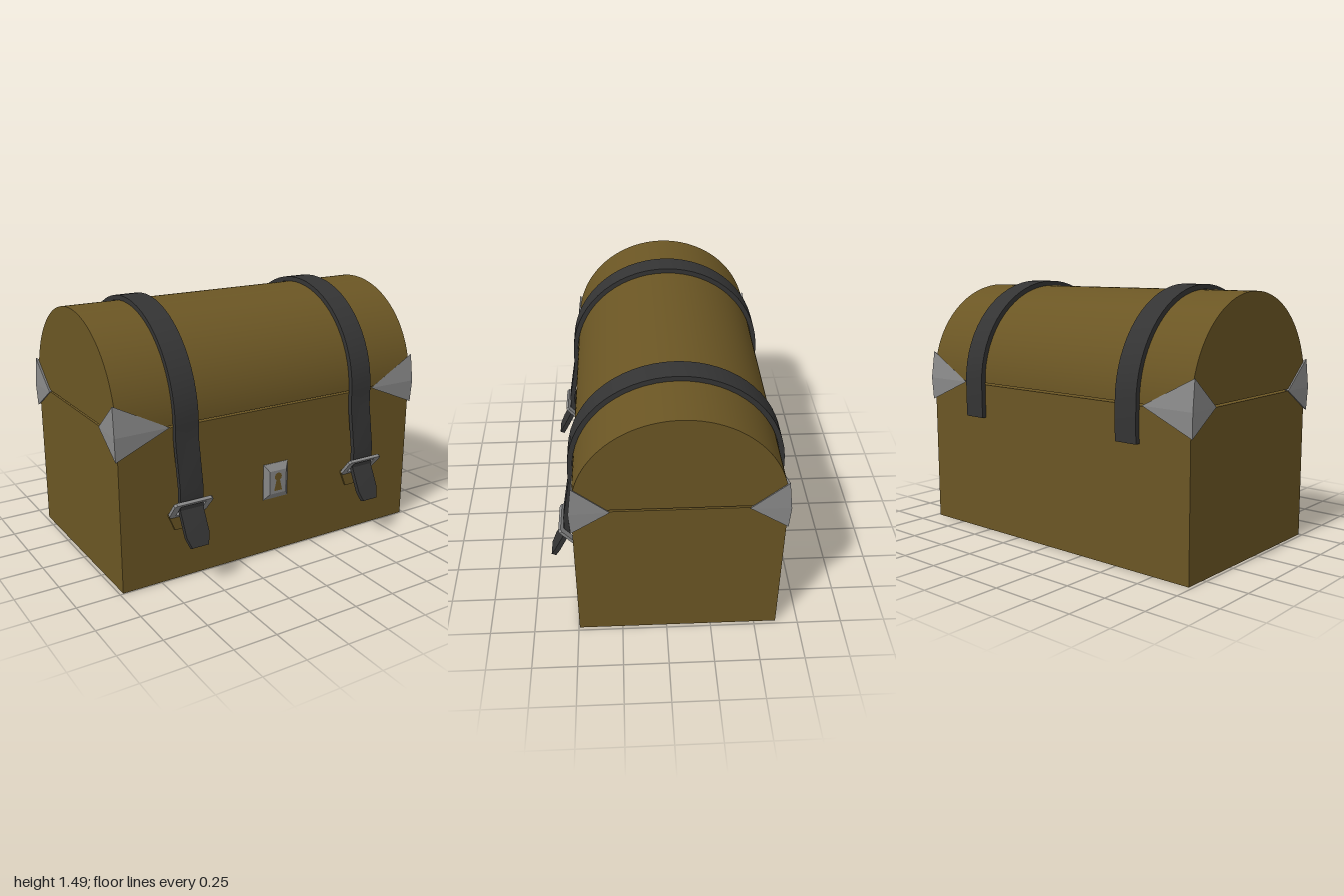
import * as THREE from 'three';
import { toCreasedNormals } from 'three/addons/utils/BufferGeometryUtils.js';
import { ConvexGeometry } from 'three/addons/geometries/ConvexGeometry.js';

const W = 0.98, CZ = -0.065, R = 0.56, SEAM = 0.897;

function material(name, color) {
  const m = new THREE.MeshStandardMaterial({ color });
  m.name = name;
  return m;
}

function polygon(points) {
  return new THREE.Shape(points.map(([x, y]) => new THREE.Vector2(x, y)));
}

// Band of rectangular section along a path of [z, y, halfWidth] points
function bandGeometry(path, thickness) {
  const pos = [], idx = [], n = path.length;
  path.forEach(([z, y, hw], i) => {
    const a = path[Math.max(i - 1, 0)], b = path[Math.min(i + 1, n - 1)];
    const t = new THREE.Vector2(b[0] - a[0], b[1] - a[1]).normalize();
    const nz = -t.y * thickness / 2, ny = t.x * thickness / 2;
    for (const [sx, sn] of [[-1, 1], [1, 1], [1, -1], [-1, -1]]) {
      pos.push(sx * hw, y + sn * ny, z + sn * nz);
    }
  });
  for (let i = 0; i < n - 1; i++) {
    for (let k = 0; k < 4; k++) {
      const a = i * 4 + k, b = i * 4 + (k + 1) % 4;
      idx.push(a, a + 4, b, b, a + 4, b + 4);
    }
  }
  const e = (n - 1) * 4;
  idx.push(0, 1, 2, 0, 2, 3, e, e + 2, e + 1, e, e + 3, e + 2);
  const g = new THREE.BufferGeometry();
  g.setAttribute('position', new THREE.Float32BufferAttribute(pos, 3));
  g.setIndex(idx);
  return toCreasedNormals(g, 0.4);
}

export function createModel() {
  const model = new THREE.Group();
  model.name = 'chest';
  const leather = material('brown leather', 0x6b5624);
  const strapMat = material('dark strap', 0x343434);
  const metal = material('grey metal', 0x8a8a8a);

  function add(name, geometry, mat, x = 0, y = 0, z = 0, parent = model) {
    const mesh = new THREE.Mesh(geometry, mat);
    mesh.name = name;
    mesh.position.set(x, y, z);
    parent.add(mesh);
    return mesh;
  }

  // Box body
  add('body', new THREE.BoxGeometry(2 * W, 0.886, 2 * R), leather, 0, 0.443, CZ);

  // Half-round lid, extruded along x
  const arch = new THREE.Shape();
  arch.absarc(0, 0, R, 0, Math.PI, false);
  arch.closePath();
  const lidGeo = new THREE.ExtrudeGeometry(arch, { depth: 2 * W, bevelEnabled: false, curveSegments: 40 });
  lidGeo.translate(0, 0, -W);
  lidGeo.rotateY(Math.PI / 2);
  add('lid', toCreasedNormals(lidGeo, 0.5), leather, 0, SEAM, CZ);

  // Metal corner guards across the seam
  for (const sx of [-1, 1]) {
    for (const sz of [-1, 1]) {
      const points = [
        [1.0, 0.89, 0.574],   // outer corner
        [0.995, 1.055, 0.553], // top
        [0.995, 0.755, 0.568], // bottom
        [0.68, 0.89, 0.567],  // tip along the long side
        [0.992, 0.89, 0.36],  // tip along the short side
      ].map(([x, y, z]) => new THREE.Vector3(sx * x, y, CZ + sz * z));
      add('cornerGuard', new ConvexGeometry(points), metal);
    }
  }

  // Strap path: up the back, over the lid, down the front to a tapered tip
  const path = [[-0.64, 0.69, 0.07], [-0.642, 0.8, 0.07]];
  for (let i = 0; i <= 32; i++) {
    const a = Math.PI * (1 - i / 32);
    path.push([CZ + 0.576 * Math.cos(a), SEAM + 0.576 * Math.sin(a), 0.07]);
  }
  path.push([0.512, 0.8, 0.07], [0.555, 0.54, 0.07], [0.55, 0.43, 0.07],
    [0.618, 0.295, 0.07], [0.643, 0.24, 0.05]);
  const strapGeo = bandGeometry(path, 0.028);

  // Buckle frame with a window for the strap
  const frame = polygon([[-0.1, -0.07], [0.1, -0.07], [0.115, -0.05], [0.118, 0.06],
    [0.105, 0.072], [-0.105, 0.072], [-0.118, 0.06], [-0.115, -0.05]]);
  frame.holes.push(polygon([[-0.078, -0.048], [-0.078, 0.05], [0.078, 0.05], [0.078, -0.048]]));
  const frameGeo = new THREE.ExtrudeGeometry(frame, { depth: 0.018, bevelEnabled: false });
  frameGeo.translate(0, 0, -0.009);

  // Leather tab behind the buckle
  const tabGeo = new THREE.ExtrudeGeometry(
    polygon([[-0.075, 0.3], [0.075, 0.3], [0.11, 0.385], [0.11, 0.4], [-0.11, 0.4], [-0.11, 0.385]]),
    { depth: 0.013, bevelEnabled: false });

  for (const x of [-0.59, 0.582]) {
    const side = new THREE.Group();
    side.name = x > 0 ? 'leftFastening' : 'rightFastening';
    side.position.x = x;
    model.add(side);
    add('strap', strapGeo, strapMat, 0, 0, 0, side);
    add('buckle', frameGeo, metal, 0, 0.433, 0.546, side).rotation.x = 0.7;
    add('buckleTab', tabGeo, leather, 0, 0, 0.495, side);
  }

  // Bevelled lock plate
  const plate = [];
  for (const [x, y, z] of [[0.083, 0.108, 0.49], [0.083, 0.108, 0.498], [0.056, 0.07, 0.524]]) {
    for (const sx of [-1, 1]) for (const sy of [-1, 1]) plate.push(new THREE.Vector3(sx * x, sy * y, z));
  }
  add('lockPlate', new ConvexGeometry(plate), metal, -0.003, 0.443, 0);

  // Keyhole: round head and flared slot
  const slot = polygon([[-0.01, 0.465], [-0.027, 0.39], [0.027, 0.39], [0.01, 0.465]]);
  add('keyholeHead', new THREE.CircleGeometry(0.024, 20), leather, -0.003, 0.475, 0.526);
  add('keyholeSlot', new THREE.ShapeGeometry(slot), leather, -0.003, 0, 0.526);

  return model;
}
